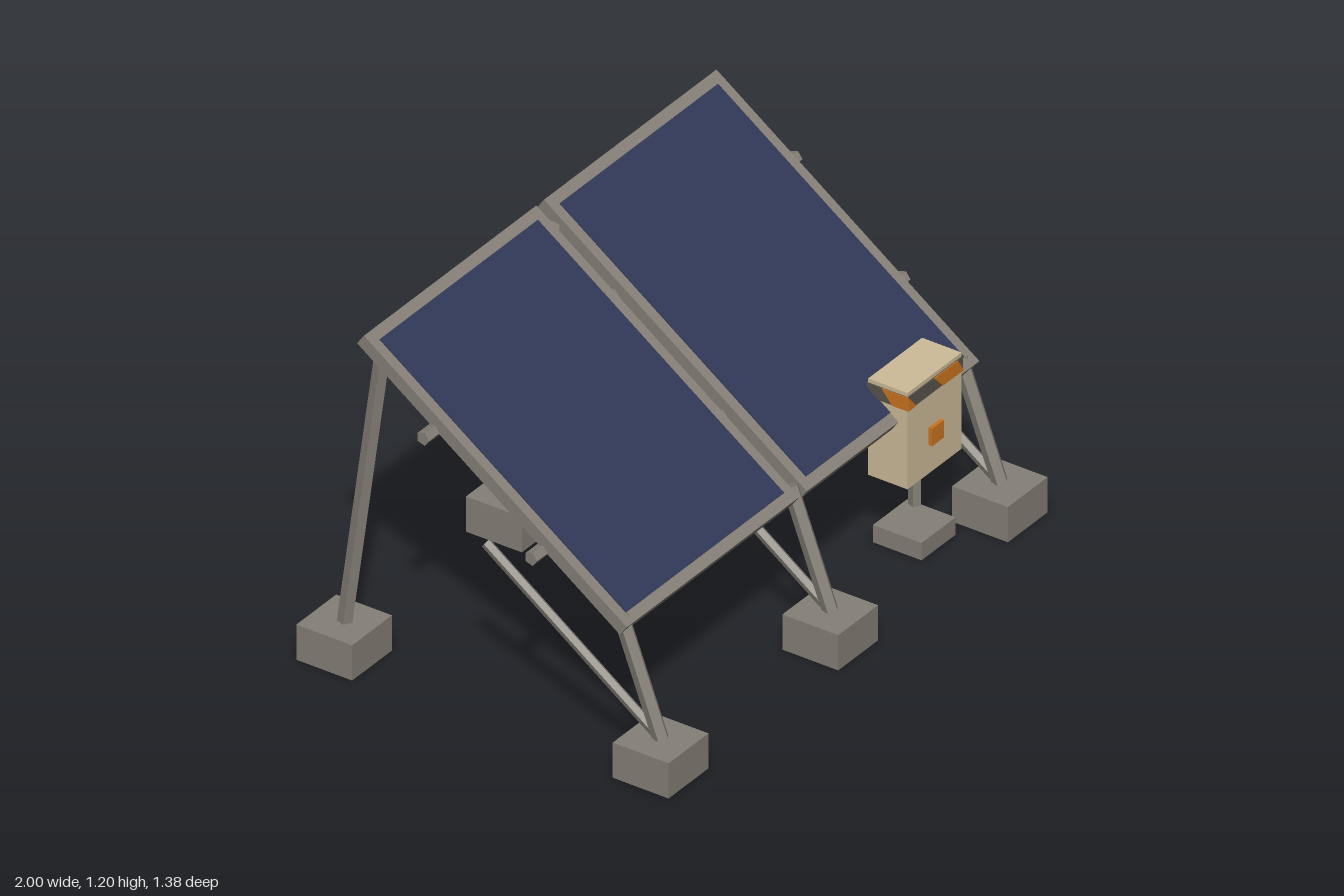
import * as THREE from 'three';

export function createModel() {
  const model = new THREE.Group();
  model.name = 'solarArray';

  const material = (name, color) => {
    const m = new THREE.MeshStandardMaterial({ color });
    m.name = name;
    return m;
  };
  const grey = material('weatheredGrey', 0x857f76);
  const navy = material('panelNavy', 0x2f3856);
  const beige = material('cabinetBeige', 0xcdbc98);
  const orange = material('warningOrange', 0xcc741f);
  const dark = material('warningDark', 0x58534d);

  const add = (name, geometry, mat, parent = model) => {
    const mesh = new THREE.Mesh(geometry, mat);
    mesh.name = name;
    parent.add(mesh);
    return mesh;
  };

  // Box given by its min and max corners
  const block = (name, a, b, mat, parent) => {
    const size = b.map((v, i) => v - a[i]);
    const mesh = add(name, new THREE.BoxGeometry(...size), mat, parent);
    mesh.position.set(...a.map((v, i) => (v + b[i]) / 2));
    return mesh;
  };

  // Five-sided bar with flat faces between two points
  const bar = (name, from, to, radius, parent) => {
    const a = new THREE.Vector3(...from);
    const b = new THREE.Vector3(...to);
    const dir = b.clone().sub(a);
    const geometry = new THREE.CylinderGeometry(radius, radius, dir.length(), 5).toNonIndexed();
    geometry.computeVertexNormals();
    const mesh = add(name, geometry, grey, parent);
    mesh.position.copy(a).add(b).multiplyScalar(0.5);
    mesh.quaternion.setFromUnitVectors(new THREE.Vector3(0, 1, 0), dir.normalize());
    return mesh;
  };

  // Two tilted panels: grey frame slab with a thin dark face
  for (const side of [-1, 1]) {
    const panel = new THREE.Group();
    panel.name = side > 0 ? 'leftPanel' : 'rightPanel';
    panel.position.set(side * 0.475, 0.832, -0.014);
    panel.rotation.x = THREE.MathUtils.degToRad(35.4);
    block('panelFrame', [-0.455, -0.022, -0.598], [0.455, 0.022, 0.598], grey, panel);
    block('panelFace', [-0.417, 0.021, -0.56], [0.417, 0.025, 0.56], navy, panel);
    model.add(panel);
  }

  // Cross rails under the panels
  bar('upperRail', [-0.985, 0.948, -0.232], [0.985, 0.948, -0.232], 0.024);
  bar('lowerRail', [-0.985, 0.662, 0.168], [0.985, 0.662, 0.168], 0.024);

  // Three supports, each with footings, front leg, back leg and brace
  for (const x of [-0.895, 0, 0.895]) {
    const support = new THREE.Group();
    support.name = 'support';
    block('frontFooting', [x - 0.105, 0, 0.483], [x + 0.105, 0.126, 0.69], grey, support);
    block('backFooting', [x - 0.105, 0, -0.69], [x + 0.105, 0.126, -0.483], grey, support);
    bar('frontLeg', [x, 0.126, 0.588], [x, 0.518, 0.44], 0.027, support);
    bar('backLeg', [x, 0.12, -0.583], [x, 1.13, -0.443], 0.026, support);
    bar('brace', [x, 0.135, 0.575], [x, 0.592, -0.06], 0.018, support);
    model.add(support);
  }

  // Control cabinet on a short post above its own pad
  const cabinet = new THREE.Group();
  cabinet.name = 'controlCabinet';
  model.add(cabinet);
  block('cabinetPad', [0.555, 0, 0.355], [0.735, 0.062, 0.535], grey, cabinet);
  bar('cabinetPost', [0.645, 0.126, 0.448], [0.645, 0.29, 0.448], 0.022, cabinet);
  block('cabinetBody', [0.503, 0.275, 0.374], [0.787, 0.62, 0.52], beige, cabinet);
  block('cabinetLatch', [0.614, 0.377, 0.515], [0.676, 0.44, 0.533], orange, cabinet);
  block('warningBand', [0.5, 0.558, 0.37], [0.79, 0.606, 0.524], dark, cabinet);

  // Slanted orange stripes on each face of the band
  const stripes = (rotation, distance, shapes) => {
    const face = new THREE.Group();
    face.name = 'warningStripes';
    face.position.set(0.645, 0.582, 0.447);
    face.rotation.y = rotation;
    for (const points of shapes) {
      const shape = new THREE.Shape(points.map(([u, v]) => new THREE.Vector2(u, v * 0.024)));
      const geometry = new THREE.ExtrudeGeometry(shape, { depth: 0.004, bevelEnabled: false });
      geometry.translate(0, 0, distance - 0.001);
      add('warningStripe', geometry, orange, face);
    }
    cabinet.add(face);
  };
  const wide = [
    [[-0.145, -1], [-0.105, -1], [-0.145, 1]],
    [[0.035, -1], [0.145, -1], [0.115, 1], [-0.01, 1]],
  ];
  const narrow = [[[-0.02 + 0.04, -1], [0.077, -1], [0.077, 1], [-0.02, 1]]];
  stripes(0, 0.077, wide);
  stripes(Math.PI, 0.077, wide);
  stripes(Math.PI / 2, 0.145, narrow);
  stripes(-Math.PI / 2, 0.145, narrow);

  return model;
}
